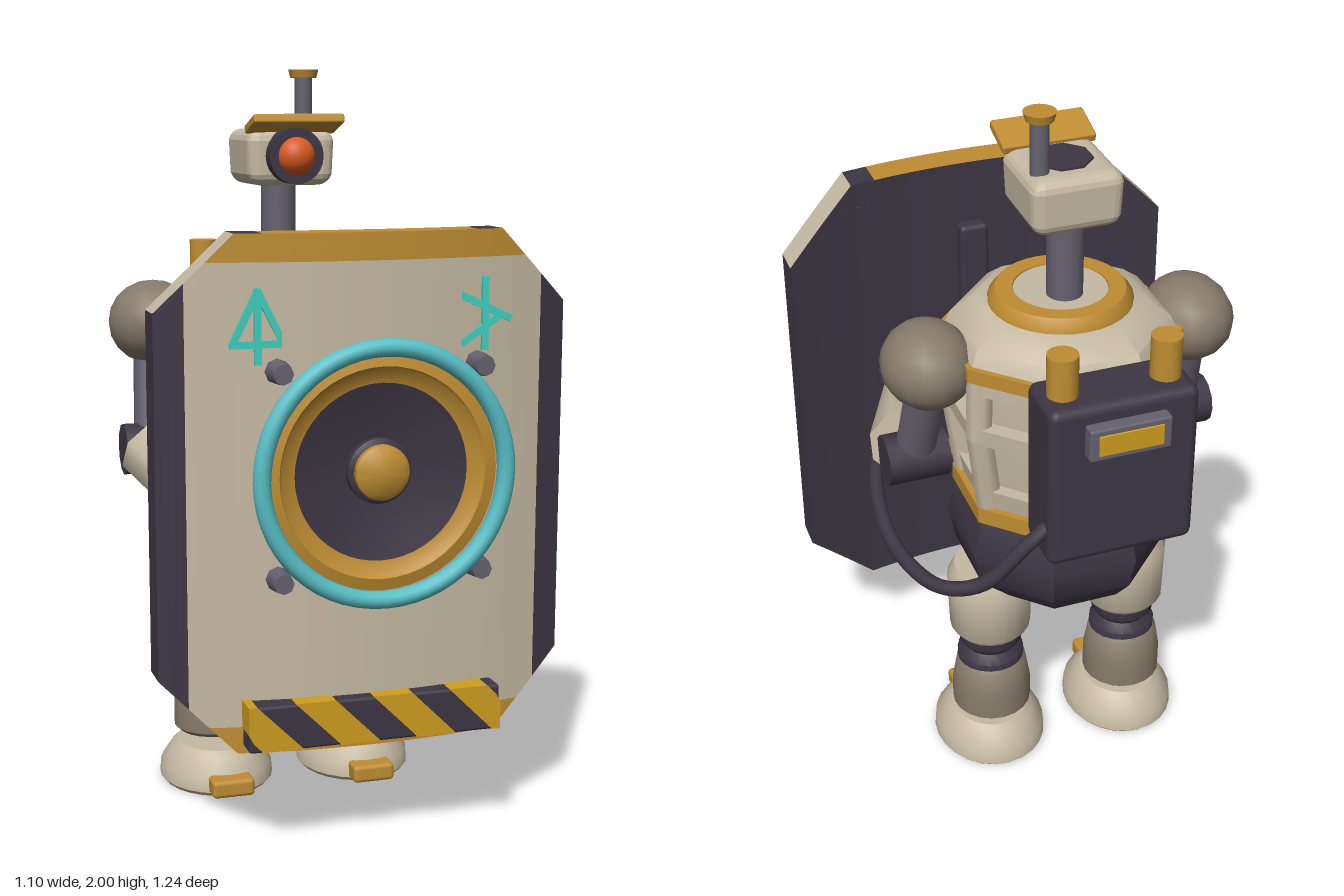
import * as THREE from 'three';
import { toCreasedNormals } from 'three/addons/utils/BufferGeometryUtils.js';
import { RoundedBoxGeometry } from 'three/addons/geometries/RoundedBoxGeometry.js';

const mat = (name, color) => { const m = new THREE.MeshStandardMaterial({ color }); m.name = name; return m; };
const V = (x, y, z) => new THREE.Vector3(x, y, z);

export function createModel() {
  const cream = mat('cream', 0xc6baa3), taupe = mat('taupe', 0x867a6a), dark = mat('darkPlum', 0x3d3644),
    grey = mat('slateGrey', 0x65616f), gold = mat('gold', 0xbf8d33), yellow = mat('hazardYellow', 0xcf9d20),
    teal = mat('tealRing', 0x58bfc6), glow = mat('brightTeal', 0x3fd0c0), orange = mat('orange', 0xd85a20);
  const model = new THREE.Group();
  const CX = -0.065, CZ = -0.13; // axis of the body

  const add = (name, geo, m, x = 0, y = 0, z = 0, parent = model) => {
    const mesh = new THREE.Mesh(geo, m);
    mesh.name = name;
    mesh.position.set(x, y, z);
    parent.add(mesh);
    return mesh;
  };
  const box = (w, h, d, r = 0.01) => new RoundedBoxGeometry(w, h, d, 2, r);
  const cyl = (r1, r2, h, n = 20) => new THREE.CylinderGeometry(r1, r2, h, n);
  const lathe = (pts, n = 20) =>
    toCreasedNormals(new THREE.LatheGeometry(pts.map(p => new THREE.Vector2(...p)), n), 0.7);
  // Eight-sided lathe with flats facing the axes; radii are given to the flats
  const K = Math.cos(Math.PI / 8);
  const oct = pts => lathe(pts.map(([r, y]) => [r / K, y]), 8).rotateY(Math.PI / 8);
  const rod = (name, a, b, r1, r2, m, n = 14) => {
    const d = b.clone().sub(a), mesh = add(name, cyl(r2, r1, d.length(), n), m);
    mesh.position.copy(a).addScaledVector(d, 0.5);
    mesh.quaternion.setFromUnitVectors(V(0, 1, 0), d.normalize());
    return mesh;
  };

  // Torso: recessed core, corner ribs, bands and dome
  add('torsoCore', oct([[0, 0.88], [0.215, 0.88], [0.25, 1.14], [0.25, 1.34], [0, 1.34]]), cream, CX, 0, CZ);
  add('torsoMiddleBand', oct([[0.23, 1.13], [0.288, 1.13], [0.292, 1.18], [0.23, 1.18]]), cream, CX, 0, CZ);
  add('torsoLowerBand', oct([[0.2, 0.9], [0.25, 0.9], [0.262, 0.97], [0.2, 0.97]]), cream, CX, 0, CZ);
  add('torsoUpperBand', oct([[0.23, 1.28], [0.287, 1.28], [0.287, 1.33], [0.23, 1.33]]), cream, CX, 0, CZ);
  for (let i = 0; i < 8; i++) {
    const a = (i + 0.5) * Math.PI / 4;
    const at = (r, y) => V(CX + r * Math.sin(a), y, CZ + r * Math.cos(a));
    rod('torsoRib', at(0.25, 0.9), at(0.285, 1.15), 0.036, 0.036, cream, 8);
    rod('torsoRib', at(0.285, 1.14), at(0.28, 1.34), 0.036, 0.036, cream, 8);
  }
  for (const s of [-1, 1]) add('sideLight', box(0.008, 0.14, 0.03, 0.003), glow, CX + s * 0.247, 1.06, CZ);
  add('chestBand', oct([[0.25, 1.32], [0.297, 1.32], [0.297, 1.36], [0.25, 1.36]]), gold, CX, 0, CZ);
  add('shoulderDome', oct([[0.285, 1.355], [0.265, 1.4], [0.21, 1.445], [0, 1.445]]), cream, CX, 0, CZ);
  add('collar', lathe([[0.19, 1.43], [0.19, 1.455], [0.17, 1.48], [0.125, 1.48], [0.12, 1.46]], 32), gold, CX, 0, CZ);
  add('collarPlate', cyl(0.126, 0.126, 0.03, 32), cream, CX, 1.46, CZ);
  add('belt', oct([[0.2, 0.865], [0.27, 0.865], [0.27, 0.912], [0.2, 0.912]]), gold, CX, 0, CZ);
  add('beltBar', box(0.54, 0.04, 0.04), gold, CX, 0.89, 0.09);
  add('pelvis', oct([[0, 0.6], [0.22, 0.6], [0.265, 0.66], [0.285, 0.76], [0.265, 0.84], [0.25, 0.88], [0, 0.88]]),
    dark, CX, 0, CZ);

  // Legs
  for (const s of [-1, 1]) {
    const x = CX + s * 0.205, z = CZ - 0.005;
    add('thigh', lathe([[0, 0.41], [0.1, 0.41], [0.115, 0.43], [0.12, 0.6], [0.1, 0.64], [0, 0.64]]), cream, x, 0, z);
    add('knee', lathe([[0.095, 0.29], [0.095, 0.33], [0.075, 0.355], [0.09, 0.375], [0.09, 0.42]]), dark, x, 0, z);
    add('shin', lathe([[0, 0.138], [0.1, 0.138], [0.113, 0.15], [0.113, 0.22], [0.1, 0.3], [0.085, 0.315], [0, 0.315]]),
      taupe, x, 0, z - 0.005);
    add('foot', lathe([[0, 0], [0.15, 0], [0.16, 0.012], [0.157, 0.05], [0.125, 0.1], [0.11, 0.115], [0, 0.115]], 24),
      cream, x, 0, CZ + 0.015).scale.z = 1.15;
    add('toeCap', box(0.12, 0.05, 0.08, 0.012), gold, x, 0.035, 0.065);
  }

  // Neck, head, eye and antenna
  add('neck', cyl(0.048, 0.048, 0.26), grey, CX, 1.58, -0.158);
  const headGeo = box(0.25, 0.15, 0.25, 0.03), hp = headGeo.attributes.position;
  for (let i = 0; i < hp.count; i++) { // narrower towards top and bottom
    const k = 1 - 9 * Math.pow(hp.getY(i) - 0.01, 2) * 2;
    hp.setX(i, hp.getX(i) * k);
    hp.setZ(i, hp.getZ(i) * (1 + k) / 2);
  }
  headGeo.computeVertexNormals();
  add('head', headGeo, cream, CX, 1.765, -0.135);
  add('headTopPlate', cyl(0.078, 0.078, 0.008, 8).rotateY(Math.PI / 8), dark, CX, 1.841, -0.13);
  add('eyeHousing', cyl(0.075, 0.075, 0.06, 24).rotateX(Math.PI / 2), dark, CX, 1.77, 0);
  add('eye', new THREE.SphereGeometry(0.054, 24, 16), orange, CX, 1.77, 0.012);
  add('visor', box(0.25, 0.025, 0.11, 0.006), gold, CX, 1.855, 0.007).rotation.x = -0.3;
  add('antenna', cyl(0.024, 0.024, 0.16), grey, 0.016, 1.905, -0.186);
  add('antennaCap', cyl(0.042, 0.036, 0.022), gold, 0.016, 1.989, -0.186);

  // Backpack
  add('backpack', box(0.395, 0.46, 0.175, 0.025), dark, CX, 1.17, -0.4975);
  add('backpackMount', box(0.2, 0.3, 0.1), dark, CX, 1.17, -0.39);
  add('screenFrame', box(0.215, 0.09, 0.05, 0.006), grey, CX, 1.31, -0.595);
  add('screen', box(0.17, 0.058, 0.006, 0.002), yellow, CX, 1.31, -0.621);
  for (const s of [-1, 1]) add('canister', cyl(0.04, 0.04, 0.13), gold, CX + s * 0.136, 1.448, -0.5);
  const hose = [V(0.1, 1.06, -0.545), V(0.17, 1.0, -0.54), V(0.28, 0.87, -0.5), V(0.37, 0.825, -0.42),
    V(0.43, 0.825, -0.23), V(0.425, 0.87, -0.03), V(0.37, 0.905, 0.13), V(0.28, 0.92, 0.27)];
  add('hose', new THREE.TubeGeometry(new THREE.CatmullRomCurve3(hose), 48, 0.02, 10), dark);
  add('hoseTip', new THREE.SphereGeometry(0.02, 10, 8), dark, 0.28, 0.92, 0.27);

  // Arms
  for (const s of [-1, 1]) {
    const x = CX + s * 0.365, ex = CX + s * 0.385;
    add('shoulder', new THREE.SphereGeometry(1, 16, 10), taupe, x, 1.32, CZ).scale.set(0.123, 0.115, 0.14);
    rod('upperArm', V(x, 1.27, CZ), V(ex, 0.99, -0.045), 0.055, 0.055, grey);
    add('elbow', cyl(0.07, 0.07, 0.17, 12).rotateZ(Math.PI / 2), dark, ex, 0.985, -0.045);
  }
  rod('rightForearm', V(-0.455, 0.985, -0.02), V(-0.36, 0.85, 0.23), 0.1, 0.07, cream, 8);
  add('rightCuff', cyl(0.097, 0.097, 0.045, 16).rotateX(Math.PI / 2), gold, -0.345, 0.84, 0.232).scale.y = 0.7;
  add('rightHand', box(0.18, 0.13, 0.12, 0.035), taupe, -0.348, 0.83, 0.295);
  rod('leftForearm', V(0.335, 1.0, -0.01), V(0.228, 0.955, 0.31), 0.1, 0.075, cream, 8);
  add('leftHand', box(0.15, 0.15, 0.11, 0.025), dark, 0.18, 0.975, 0.345);
  add('leftKnuckle', box(0.07, 0.1, 0.11, 0.015), grey, 0.205, 0.99, 0.335);

  // Shield: curved slabs between a lower and an upper edge
  const front = x => 0.5 - 0.28 * x * x;
  const top = x => 1.6 - Math.max(0, Math.abs(x) - 0.35);
  const bottom = x => 1.88 - top(x);
  const slab = (name, x0, x1, lo, hi, mats, n = 4) => {
    const g = new THREE.BoxGeometry(1, 1, 1, n, 1, 1), p = g.attributes.position;
    for (let i = 0; i < p.count; i++) {
      const x = x0 + (x1 - x0) * (p.getX(i) + 0.5);
      p.setXYZ(i, x, p.getY(i) > 0 ? hi(x) : lo(x), front(x) - (p.getZ(i) > 0 ? 0 : 0.09));
    }
    g.computeVertexNormals();
    add(name, g, mats);
  };
  const hiT = () => 1.53, loT = () => 0.35;
  const plain = [cream, cream, cream, cream, cream, dark];
  const trim = edge => [gold, gold, edge, edge, gold, dark];
  slab('shieldPanel', -0.42, 0.42, loT, hiT, plain, 24);
  slab('shieldTopTrim', -0.28, 0.28, hiT, top, trim(gold), 16);
  slab('shieldBottomTrim', -0.28, 0.28, bottom, loT, trim(gold), 16);
  for (const s of [-1, 1]) {
    const side = (name, a, b, lo, hi, m) => slab(name, s < 0 ? -b : a, s < 0 ? -a : b, lo, hi, m);
    side('shieldTopTrimEnd', 0.28, 0.35, hiT, top, trim(dark));
    side('shieldBottomTrimEnd', 0.28, 0.35, bottom, loT, trim(dark));
    side('shieldTopTrimCorner', 0.35, 0.42, hiT, top, trim(cream));
    side('shieldBottomTrimCorner', 0.35, 0.42, bottom, loT, trim(cream));
    side('shieldWing', 0.42, 0.47, bottom, top, plain);
    side('shieldSideStrip', 0.47, 0.543, bottom, top, [dark, dark, cream, cream, dark, dark]);
  }
  add('shieldSpine', box(0.085, 0.96, 0.05, 0.015), dark, 0, 0.94, 0.395);
  add('shieldCrossbar', box(0.6, 0.06, 0.04, 0.015), dark, 0, 0.98, 0.382);

  // Loudspeaker on the shield
  const speaker = new THREE.Group();
  speaker.name = 'speaker';
  speaker.position.y = 1.01;
  model.add(speaker);
  const dish = (name, pts, m) => add(name, lathe(pts, 48).rotateX(Math.PI / 2), m, 0, 0, 0, speaker);
  dish('speakerBack', [[0, 0.503], [0.09, 0.505], [0.25, 0.55]], dark);
  dish('speakerRim', [[0.25, 0.55], [0.3, 0.55], [0.3, 0.57], [0.268, 0.578], [0.262, 0.57], [0.225, 0.56]], gold);
  dish('speakerCone', [[0.225, 0.56], [0.085, 0.525], [0, 0.525]], dark);
  dish('speakerKnobBase', [[0.083, 0.52], [0.083, 0.545], [0.072, 0.553], [0, 0.553]], dark);
  dish('speakerKnob', [[0.07, 0.55], [0.07, 0.57], [0.052, 0.585], [0, 0.588]], gold);
  add('speakerRing', new THREE.TorusGeometry(0.317, 0.023, 12, 56), teal, 0, 0, 0.595, speaker);
  for (const x of [-0.26, 0.26]) for (const y of [-0.26, 0.26])
    add('speakerPeg', cyl(0.026, 0.032, 0.06, 8).rotateX(Math.PI / 2), grey, x, y, 0.56, speaker);

  // Hazard bar with slanted stripes
  const L = 0.337, Y0 = 0.3, H = 0.12;
  add('hazardBar', box(2 * L, H, 0.07, 0.008), dark, 0, Y0 + H / 2, 0.5);
  for (let a = -0.42; a < L; a += 0.205) {
    const edge = [0, 0.2, 0.4, 0.6, 0.8, 1];
    const pt = (x, t) => new THREE.Vector2(THREE.MathUtils.clamp(x + 0.12 * t, -L, L), Y0 + H * (1 - t));
    const pts = [...edge.map(t => pt(a, t)), ...edge.map(t => pt(a + 0.105, 1 - t))];
    const g = new THREE.ExtrudeGeometry(new THREE.Shape(pts), { depth: 0.076, bevelEnabled: false });
    add('hazardStripe', g.scale(1.004, 1, 1), yellow, 0, 0.002, 0.463);
  }

  // Abstract accent strokes on the shield face
  const strokes = [[-0.295, 1.46, -0.36, 1.33], [-0.295, 1.46, -0.23, 1.33], [-0.36, 1.33, -0.23, 1.33],
    [-0.295, 1.46, -0.295, 1.285], [0.3, 1.475, 0.3, 1.3], [0.235, 1.435, 0.365, 1.375], [0.345, 1.385, 0.24, 1.315]];
  for (const [x0, y0, x1, y1] of strokes) {
    const g = new THREE.BoxGeometry(Math.hypot(x1 - x0, y1 - y0) + 0.012, 0.018, 0.009);
    add('accentStroke', g, glow, (x0 + x1) / 2, (y0 + y1) / 2, 0.48).rotation.z = Math.atan2(y1 - y0, x1 - x0);
  }
  return model;
}
